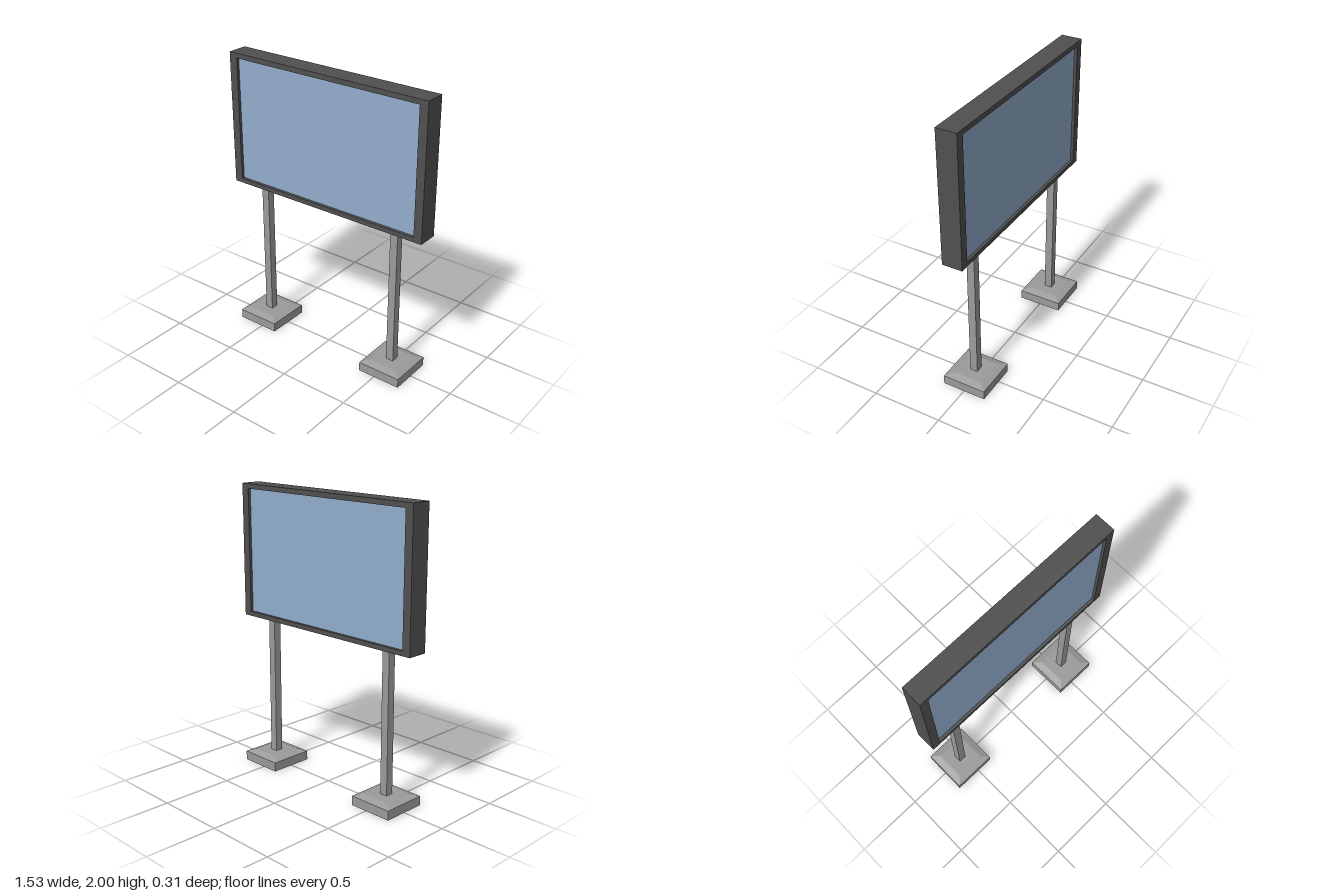
import * as THREE from 'three';

const frameGrey = new THREE.MeshStandardMaterial({ name: 'frame dark grey', color: 0x505050 });
const screenBlue = new THREE.MeshStandardMaterial({ name: 'screen blue', color: 0x92adcc });
const postGrey = new THREE.MeshStandardMaterial({ name: 'post grey', color: 0x9b9b9b });

function box(name, material, [w, h, d], [x, y, z]) {
  const mesh = new THREE.Mesh(new THREE.BoxGeometry(w, h, d), material);
  mesh.name = name;
  mesh.position.set(x, y, z);
  return mesh;
}

// Closed rectangle outline, for a shape or a hole
function rectangle(Type, x, y0, y1) {
  const points = [[-x, y0], [x, y0], [x, y1], [-x, y1]];
  return new Type(points.map(([px, py]) => new THREE.Vector2(px, py)));
}

// Foot block whose top edges slope inwards to a smaller flat top
function createFoot() {
  const half = 0.157, topHalf = 0.105, shoulder = 0.065, top = 0.083;
  const profile = [[0, 0], [half, 0], [half, shoulder], [topHalf, top], [0, top]];
  const points = profile.map(([r, y]) => new THREE.Vector2(r * Math.SQRT2, y));
  const geometry = new THREE.LatheGeometry(points, 4, Math.PI / 4).toNonIndexed();
  geometry.computeVertexNormals();
  const foot = new THREE.Mesh(geometry, postGrey);
  foot.name = 'foot';
  return foot;
}

export function createModel() {
  const model = new THREE.Group();
  model.name = 'billboard';

  const bottom = 1.07, top = 2, depth = 0.144, recess = 0.02;

  // Frame open on both faces, with a sunken panel on each side
  const outline = rectangle(THREE.Shape, 0.765, bottom, top);
  outline.holes.push(rectangle(THREE.Path, 0.706, 1.102, 1.966));
  const frameGeometry = new THREE.ExtrudeGeometry(outline, { depth, bevelEnabled: false });
  frameGeometry.translate(0, 0, -depth / 2);
  const frame = new THREE.Mesh(frameGeometry, frameGrey);
  frame.name = 'frame';
  model.add(frame);

  for (const side of [1, -1]) {
    const screen = new THREE.Mesh(new THREE.PlaneGeometry(1.412, 0.864), screenBlue);
    screen.name = side > 0 ? 'frontScreen' : 'backScreen';
    screen.position.set(0, 1.534, side * (depth / 2 - recess));
    if (side < 0) screen.rotation.y = Math.PI;
    model.add(screen);
  }

  // Two square posts standing on sloped feet
  for (const side of [1, -1]) {
    const support = new THREE.Group();
    support.name = side > 0 ? 'leftSupport' : 'rightSupport';
    support.position.x = side * 0.535;
    support.add(createFoot());
    support.add(box('post', postGrey, [0.055, bottom - 0.08, 0.055], [0, (bottom + 0.08) / 2, 0]));
    model.add(support);
  }
  return model;
}
